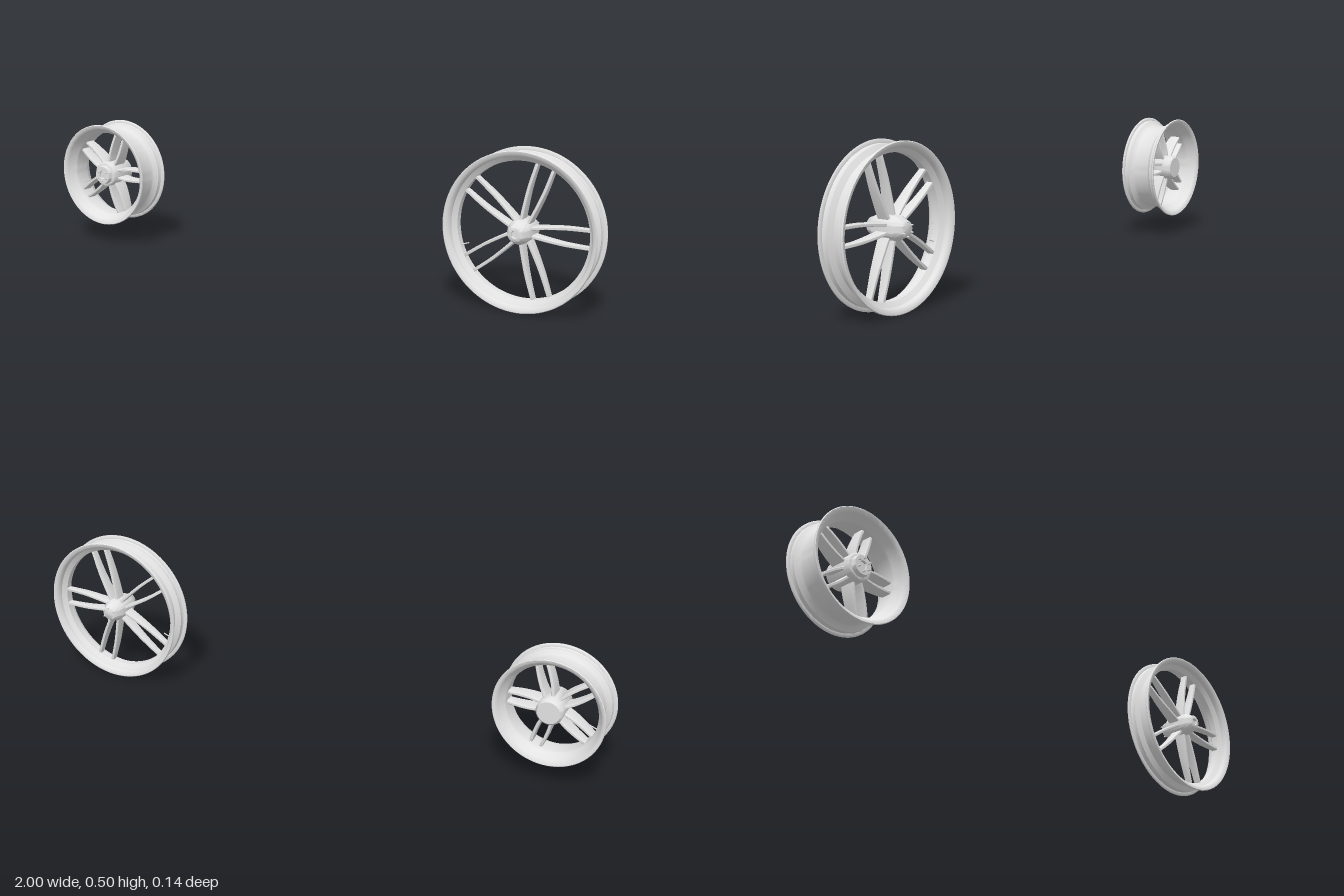
import * as THREE from 'three';
import { toCreasedNormals } from 'three/addons/utils/BufferGeometryUtils.js';

const alloy = new THREE.MeshStandardMaterial({ color: 0xe2e2e2 });
alloy.name = 'light grey alloy';

function add(parent, name, geometry) {
  const mesh = new THREE.Mesh(geometry, alloy);
  mesh.name = name;
  parent.add(mesh);
  return mesh;
}

// Turned part around the z axis from [radius, z] pairs, listed back to front
function turned(points, segments) {
  const g = new THREE.LatheGeometry(points.map(([r, z]) => new THREE.Vector2(r, z)), segments);
  g.rotateX(Math.PI / 2);
  return toCreasedNormals(g, 0.8);
}

// Closed rim section: half profiles mirrored across z = 0
function rimGeometry(outer, inner) {
  const flip = (list) => list.map(([r, z]) => [r, -z]).reverse();
  const loop = [...flip(outer), ...outer, ...inner, ...flip(inner)];
  return turned([...loop, loop[0]], 96);
}

// Bowed spoke along +x, thin across y and deep along z, tapering to the rim
function spokeGeometry({ path, thick, depthHub, depthRim }) {
  const curve = new THREE.SplineCurve(path.map(([x, y]) => new THREE.Vector2(x, y)));
  const pts = curve.getPoints(12);
  const shape = new THREE.Shape([
    ...pts.map((p) => new THREE.Vector2(p.x, p.y - thick / 2)),
    ...pts.slice().reverse().map((p) => new THREE.Vector2(p.x, p.y + thick / 2)),
  ]);
  const g = new THREE.ExtrudeGeometry(shape, {
    depth: 0.8, bevelEnabled: true, bevelThickness: 0.1, bevelSize: 0.002, bevelSegments: 2, steps: 1,
  });
  g.translate(0, 0, -0.4);
  const p = g.attributes.position;
  const r0 = path[0][0], r1 = path[path.length - 1][0];
  for (let i = 0; i < p.count; i++) {
    const t = THREE.MathUtils.clamp((p.getX(i) - r0) / (r1 - r0), 0, 1);
    p.setZ(i, p.getZ(i) * THREE.MathUtils.lerp(depthHub, depthRim, t));
  }
  return toCreasedNormals(g, 0.6);
}

function makeWheel(name, spec) {
  const wheel = new THREE.Group();
  wheel.name = name;
  add(wheel, 'rim', rimGeometry(spec.outer, spec.inner));
  add(wheel, 'hub', turned(spec.hub, 48));

  // Five pairs of mirrored spokes
  const left = spokeGeometry(spec.spoke);
  const right = spokeGeometry({ ...spec.spoke, path: spec.spoke.path.map(([x, y]) => [x, -y]) });
  for (let i = 0; i < 5; i++) {
    const pair = new THREE.Group();
    pair.name = 'spokePair';
    pair.rotation.z = (i * Math.PI * 2) / 5;
    add(pair, 'spoke', left);
    add(pair, 'spoke', right);
    wheel.add(pair);
  }

  // Ring of small hub bolts on one side
  const bolt = new THREE.CylinderGeometry(0.0025, 0.0025, 0.014, 8);
  bolt.rotateX(Math.PI / 2);
  for (let i = 0; i < 6; i++) {
    const a = (i * Math.PI) / 3 + Math.PI / 6;
    add(wheel, 'hubBolt', bolt).position.set(Math.cos(a) * 0.021, Math.sin(a) * 0.021, spec.boltSide * 0.065);
  }

  // Valve stem pointing inwards from the rim
  const stem = add(wheel, 'valveStem', new THREE.CylinderGeometry(0.002, 0.002, 0.026, 10));
  const a = Math.PI * 1.11, r = spec.valveRadius;
  stem.position.set(Math.cos(a) * r, Math.sin(a) * r, 0);
  stem.rotation.z = a - Math.PI / 2;
  return wheel;
}

export function createModel() {
  const model = new THREE.Group();
  model.name = 'wheelSet';

  const large = makeWheel('largeWheel', {
    outer: [[0.2195, 0.01], [0.236, 0.021], [0.234, 0.035], [0.236, 0.038], [0.245, 0.0385],
      [0.248, 0.041], [0.248, 0.0435], [0.246, 0.0455]],
    inner: [[0.237, 0.0445], [0.229, 0.036], [0.228, 0.023], [0.213, 0.011]],
    hub: [[0, -0.066], [0.022, -0.066], [0.024, -0.064], [0.031, -0.045], [0.037, -0.036], [0.037, 0.036],
      [0.031, 0.045], [0.024, 0.064], [0.022, 0.066], [0.012, 0.066], [0.011, 0.058], [0, 0.058]],
    spoke: { path: [[0.03, 0.012], [0.08, 0.019], [0.14, 0.025], [0.212, 0.027]],
      thick: 0.006, depthHub: 0.042, depthRim: 0.022 },
    boltSide: -1,
    valveRadius: 0.202,
  });
  large.position.set(0.752, 0.248, 0);

  const small = makeWheel('smallWheel', {
    outer: [[0.151, 0.026], [0.153, 0.032], [0.167, 0.043], [0.166, 0.054], [0.168, 0.057], [0.176, 0.0575],
      [0.1785, 0.06], [0.1785, 0.0625], [0.1765, 0.0645]],
    inner: [[0.17, 0.0635], [0.161, 0.055], [0.16, 0.043], [0.147, 0.032], [0.145, 0.024]],
    hub: [[0, -0.058], [0.036, -0.058], [0.043, -0.05], [0.043, 0.045], [0.04, 0.048], [0.033, 0.048],
      [0.03, 0.062], [0.014, 0.062], [0.013, 0.054], [0, 0.054]],
    spoke: { path: [[0.036, 0.013], [0.07, 0.018], [0.11, 0.019], [0.144, 0.017]],
      thick: 0.006, depthHub: 0.055, depthRim: 0.036 },
    boltSide: 1,
    valveRadius: 0.134,
  });
  small.position.set(-0.8215, 0.247, 0);

  model.add(large, small);
  return model;
}
